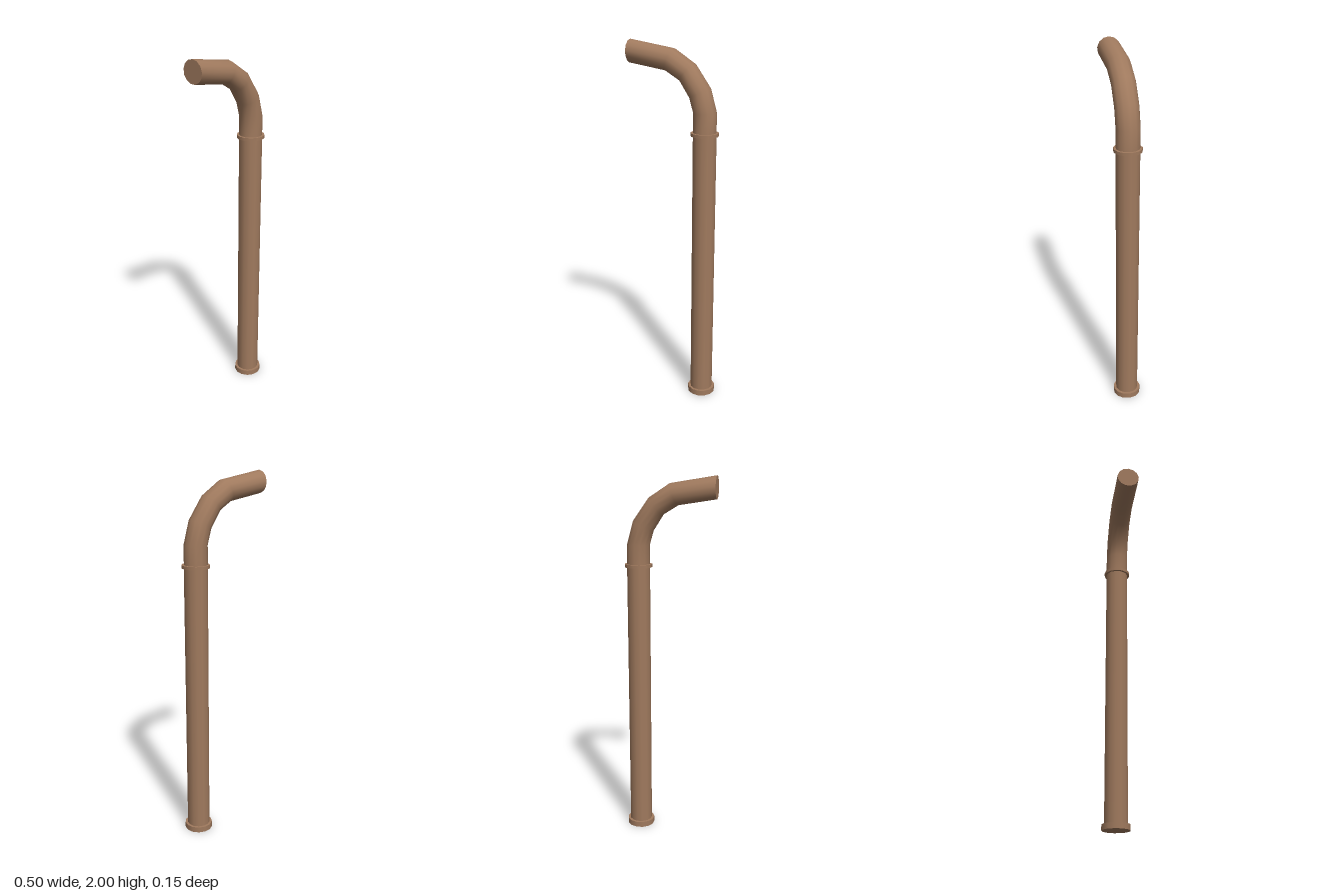
import * as THREE from 'three';

const SIDES = 13;
const RADIUS = 0.0628;
const AXIS_X = 0.173;

// Upright cylinder with one corner pointing to +x
function upright(name, radius, y0, y1, material) {
  const geometry = new THREE.CylinderGeometry(radius, radius, y1 - y0, SIDES, 1, false, Math.PI / 2);
  const mesh = new THREE.Mesh(geometry, material);
  mesh.name = name;
  mesh.position.set(AXIS_X, (y0 + y1) / 2, 0);
  return mesh;
}

// Elbow skinned through rings; each section is [outer x, outer y, inner x, inner y]
function elbowGeometry(sections) {
  const positions = [];
  const index = [];
  // an odd ring has no corner exactly on the inner side
  const reach = 1 + Math.cos(Math.PI / SIDES);
  const rings = sections.map(([ox, oy, ix, iy]) => {
    const cx = ox + (ix - ox) / reach;
    const cy = oy + (iy - oy) / reach;
    const ring = [];
    for (let j = 0; j < SIDES; j++) {
      const a = (j / SIDES) * Math.PI * 2;
      ring.push([cx + (ox - cx) * Math.cos(a), cy + (oy - cy) * Math.cos(a), RADIUS * Math.sin(a)]);
    }
    return { ring, centre: [cx, cy, 0] };
  });

  // Wall
  rings.forEach(({ ring }, i) => {
    ring.forEach((p) => positions.push(...p));
    if (i === rings.length - 1) return;
    for (let j = 0; j < SIDES; j++) {
      const k = (j + 1) % SIDES;
      const a = i * SIDES + j, b = i * SIDES + k;
      index.push(a, a + SIDES, b, b, a + SIDES, b + SIDES);
    }
  });

  // Flat cap on the free end, with its own corners for a sharp edge
  const { ring, centre } = rings[rings.length - 1];
  const start = positions.length / 3;
  positions.push(...centre);
  ring.forEach((p) => positions.push(...p));
  for (let j = 0; j < SIDES; j++) {
    index.push(start, start + 1 + ((j + 1) % SIDES), start + 1 + j);
  }

  const geometry = new THREE.BufferGeometry();
  geometry.setAttribute('position', new THREE.Float32BufferAttribute(positions, 3));
  geometry.setIndex(index);
  geometry.computeVertexNormals();
  return geometry;
}

export function createModel() {
  const group = new THREE.Group();
  group.name = 'bentPipe';
  const copper = new THREE.MeshStandardMaterial({ color: 0xa07a5e });
  copper.name = 'dull copper';

  // Straight pipe and its two collars
  group.add(upright('shaft', RADIUS, 0.01, 1.53, copper));
  group.add(upright('baseCollar', 0.077, 0, 0.031, copper));
  group.add(upright('upperCollar', 0.075, 1.52, 1.537, copper));

  // Bend and spout
  const elbow = new THREE.Mesh(elbowGeometry([
    [0.235, 1.53, 0.112, 1.53],
    [0.235, 1.64, 0.112, 1.64],
    [0.2, 1.765, 0.09, 1.715],
    [0.115, 1.885, 0.035, 1.8],
    [0, 1.96, -0.045, 1.848],
    [-0.25, 2, -0.25, 1.88],
  ]), copper);
  elbow.name = 'elbow';
  group.add(elbow);

  return group;
}
